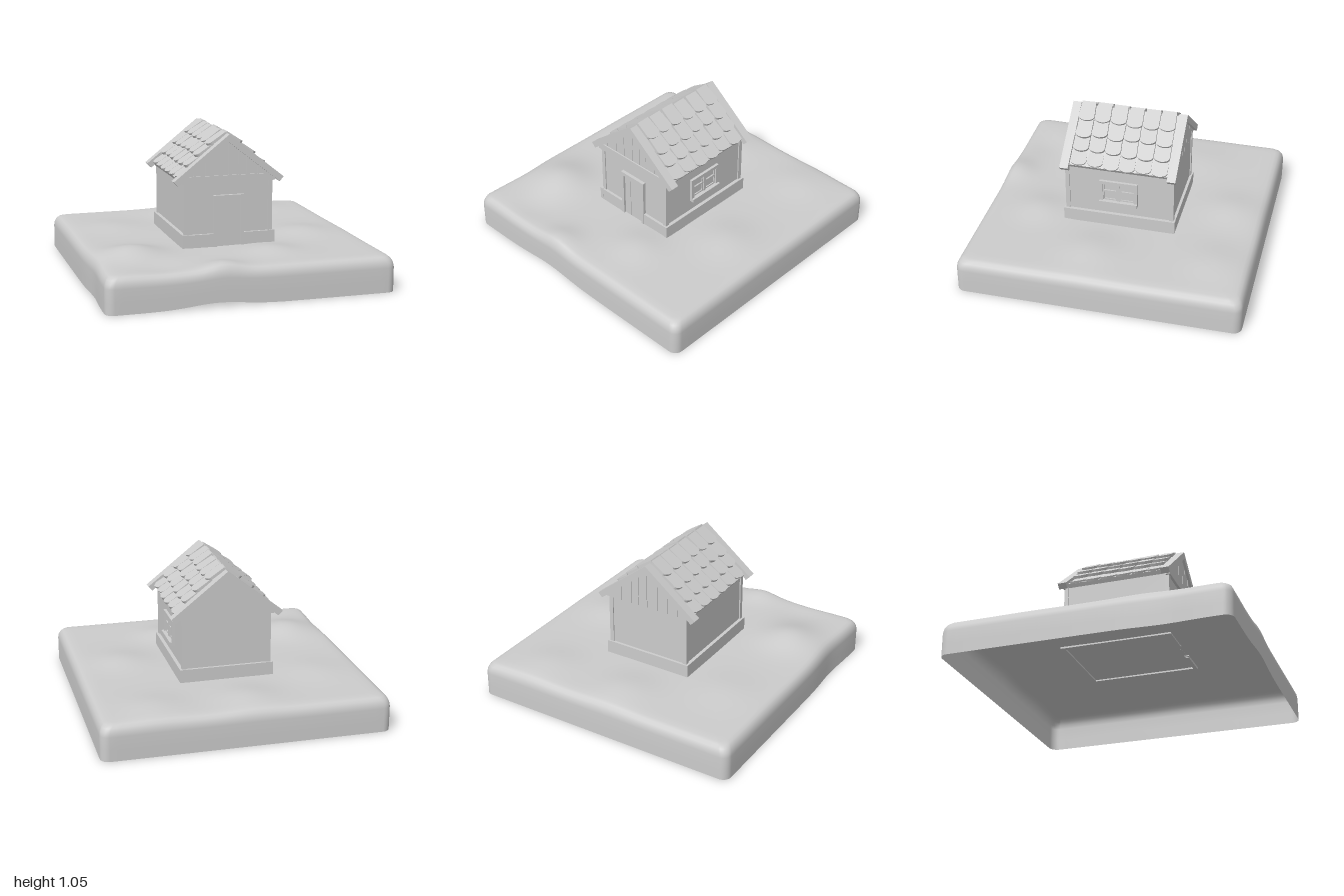
import * as THREE from 'three';

const stone = new THREE.MeshStandardMaterial({ color: 0xcccccc });
stone.name = 'plain grey';
const stoneOpen = stone.clone();
stoneOpen.side = THREE.DoubleSide;

let seed = 7;
const rand = () => ((seed = (seed * 16807) % 2147483647) / 2147483647) - 0.5;

function add(parent, name, geometry, material = stone) {
  const mesh = new THREE.Mesh(geometry, material);
  mesh.name = name;
  parent.add(mesh);
  return mesh;
}

// Box given by its limits on each axis
function box(parent, name, x0, x1, y0, y1, z0, z1) {
  const mesh = add(parent, name, new THREE.BoxGeometry(x1 - x0, y1 - y0, z1 - z0));
  mesh.position.set((x0 + x1) / 2, (y0 + y1) / 2, (z0 + z1) / 2);
  return mesh;
}

// Outline in x and y, pushed out from z0 to z1
function slab(parent, name, points, z0, z1) {
  const shape = new THREE.Shape(points.map(p => new THREE.Vector2(...p)));
  const mesh = add(parent, name, new THREE.ExtrudeGeometry(shape, { depth: z1 - z0, bevelEnabled: false }));
  mesh.position.z = z0;
  return mesh;
}

// Soft mounds on the ground: x, z, height, width
const mounds = [
  [-0.7, 0.45, 0.06, 0.2], [-0.2, 0.93, 0.036, 0.13], [0.25, 0.6, 0.03, 0.17],
  [0.65, 0.12, 0.03, 0.2], [-0.05, -0.75, 0.03, 0.2], [0.6, -0.75, 0.025, 0.2],
  [-0.65, -0.4, 0.02, 0.22], [-0.6, 0.82, -0.015, 0.15]
];
const moundHeight = (x, z) => mounds.reduce(
  (sum, [mx, mz, h, w]) => sum + h * Math.exp(-((x - mx) ** 2 + (z - mz) ** 2) / (w * w)), 0);

// Hollow ground block, open below, made of rounded square rings
function buildGround(parent) {
  const r = 0.06, contour = [];
  for (let side = 0; side < 4; side++) {
    const pts = [];
    for (let i = 0; i < 32; i++) pts.push([1, (1 - r) * (i / 16 - 1)]);
    for (let i = 0; i < 6; i++) {
      const a = (i / 6) * Math.PI / 2;
      pts.push([1 - r + r * Math.cos(a), 1 - r + r * Math.sin(a)]);
    }
    for (let [x, z] of pts) {
      for (let k = 0; k < side; k++) [x, z] = [-z, x];
      contour.push([x, z]);
    }
  }
  const rings = [[1, 0], [1, 0.08], [1, 0.17], [0.995, 0.2], [0.983, 0.225], [0.965, 0.241], [0.94, 0.248]];
  for (let i = 1; i <= 20; i++) rings.push([0.94 * (1 - i / 20), 0.25]);
  const pos = [], index = [], n = contour.length;
  rings.forEach(([s, y], i) => contour.forEach(([cx, cz], j) => {
    const x = cx * s, z = cz * s;
    const lift = z > 0.95 ? 0.03 * (1 - y / 0.25) * Math.exp(-(((x + 0.25) / 0.24) ** 2)) : 0;
    const pinch = x < -0.9 ? 0.015 * Math.exp(-(((z - 0.55) / 0.2) ** 2)) : 0;
    pos.push(x + pinch, y + lift + moundHeight(x, z) * (y / 0.25) ** 2, z);
    if (i === rings.length - 1) return;
    const a = i * n + j, b = i * n + (j + 1) % n;
    index.push(a, a + n, b, b, a + n, b + n);
  }));
  const geometry = new THREE.BufferGeometry();
  geometry.setAttribute('position', new THREE.Float32BufferAttribute(pos, 3));
  geometry.setIndex(index);
  geometry.computeVertexNormals();
  add(parent, 'ground', geometry, stoneOpen);
}

function buildWalls(parent) {
  slab(parent, 'walls', [[-0.31, 0.265], [0.31, 0.265], [0.31, 0.72], [0, 0.975], [-0.31, 0.72]], -0.383, 0.383);
  // Skirting, left open at the door
  for (const s of [-1, 1]) {
    box(parent, 'sideSkirting', s * 0.32 - 0.015, s * 0.32 + 0.015, 0.24, 0.345, -0.403, 0.403);
    box(parent, 'frontSkirting', s * 0.21 - 0.11, s * 0.21 + 0.11, 0.24, 0.342, 0.375, 0.402);
    for (const z of [-1, 1])
      box(parent, 'cornerPost', s * 0.304 - 0.015, s * 0.304 + 0.015, 0.3, 0.72, z * 0.376 - 0.015, z * 0.376 + 0.015);
  }
  box(parent, 'backSkirting', -0.32, 0.32, 0.24, 0.345, -0.402, -0.375);
}

// Upright boards filling both gables, with narrow gaps between
function buildGables(parent) {
  const edges = [-0.34, -0.25, -0.165, -0.085, 0, 0.07, 0.13, 0.21, 0.34];
  const top = x => 0.985 - 0.785 * Math.abs(x);
  for (const z of [-0.393, 0.383])
    for (let i = 0; i < edges.length - 1; i++) {
      const a = edges[i] + 0.002, b = edges[i + 1] - 0.002, foot = 0.705;
      slab(parent, 'gableBoard', [[a, foot], [b, foot], [b, top(b)], [a, top(a)]], z, z + 0.01);
    }
  box(parent, 'gableBeam', -0.335, 0.335, 0.7, 0.75, 0.37, 0.402);
}

function buildDoor(parent) {
  for (const s of [-1, 1])
    box(parent, 'doorPost', s * 0.098 - 0.012, s * 0.098 + 0.012, 0.245, 0.61, 0.375, 0.406);
  box(parent, 'doorLintel', -0.11, 0.11, 0.586, 0.612, 0.375, 0.407);
  [[-0.085, -0.032], [-0.028, 0.083]].forEach(([a, b]) =>
    box(parent, 'doorBoard', a, b, 0.25, 0.585, 0.38, 0.391));
}

function buildWindow(parent) {
  const z0 = -0.132, z1 = 0.142, x0 = 0.3;
  box(parent, 'windowHead', x0, 0.33, 0.588, 0.612, z0, z1);
  box(parent, 'windowSill', x0, 0.347, 0.428, 0.454, z0, z1);
  for (const z of [z0, z1 - 0.025]) box(parent, 'windowJamb', x0, 0.33, 0.45, 0.59, z, z + 0.025);
  box(parent, 'windowMullion', x0, 0.325, 0.45, 0.59, -0.005, 0.015);
  box(parent, 'windowBar', x0, 0.32, 0.52, 0.535, z0, z1);
  // Sash rims around the two panes
  for (const [a, b] of [[-0.107, -0.005], [0.015, 0.117]]) {
    for (const y of [0.454, 0.578]) box(parent, 'sashRail', x0, 0.318, y, y + 0.01, a, b);
    for (const z of [a, b - 0.01]) box(parent, 'sashStile', x0, 0.318, 0.454, 0.588, z, z + 0.01);
  }
}

function buildRoof(parent) {
  slab(parent, 'roofDeck', [[0, 1.012], [-0.352, 0.73], [-0.335, 0.705], [0, 0.975], [0.335, 0.705], [0.352, 0.73]], -0.355, 0.355);
  for (const z of [-0.413, 0.35])
    slab(parent, 'bargeboard', [[0, 1.035], [-0.396, 0.722], [-0.366, 0.69], [0, 0.978], [0.366, 0.69], [0.396, 0.722]], z, z + 0.061);

  // Tile with a rounded lower end at its origin
  const tile = new THREE.Shape();
  tile.moveTo(0.05, 0.15);
  tile.lineTo(-0.05, 0.15);
  tile.lineTo(-0.056, 0.03);
  tile.quadraticCurveTo(-0.05, 0.004, 0, 0);
  tile.quadraticCurveTo(0.05, 0.004, 0.056, 0.03);
  const geometry = new THREE.ExtrudeGeometry(tile, { depth: 0.02, bevelEnabled: false, curveSegments: 5 });

  const rows = [[0.352, 0.722], [0.287, 0.799], [0.207, 0.873], [0.122, 0.945]];
  for (const side of [-1, 1])
    rows.forEach(([x, y]) => {
      for (let i = 0; i < 6; i++) {
        const angle = 0.57 + rand() * 0.06, c = Math.cos(angle), s = Math.sin(angle);
        const mesh = add(parent, 'roofTile', geometry);
        mesh.quaternion.setFromRotationMatrix(new THREE.Matrix4().makeBasis(
          new THREE.Vector3(0, 0, -side), new THREE.Vector3(-side * c, s, 0), new THREE.Vector3(side * s, c, 0)));
        mesh.rotateZ(rand() * 0.06);
        const slide = rand() * 0.012;
        mesh.position.set(side * (x + slide), y - slide * 0.78, (i - 2.5) * 0.1155);
      }
    });
}

export function createModel() {
  const model = new THREE.Group();
  model.name = 'cottage';
  buildGround(model);
  const parts = { walls: buildWalls, gables: buildGables, door: buildDoor, window: buildWindow, roof: buildRoof };
  for (const [name, build] of Object.entries(parts)) {
    const group = new THREE.Group();
    group.name = name;
    build(group);
    model.add(group);
  }
  return model;
}
